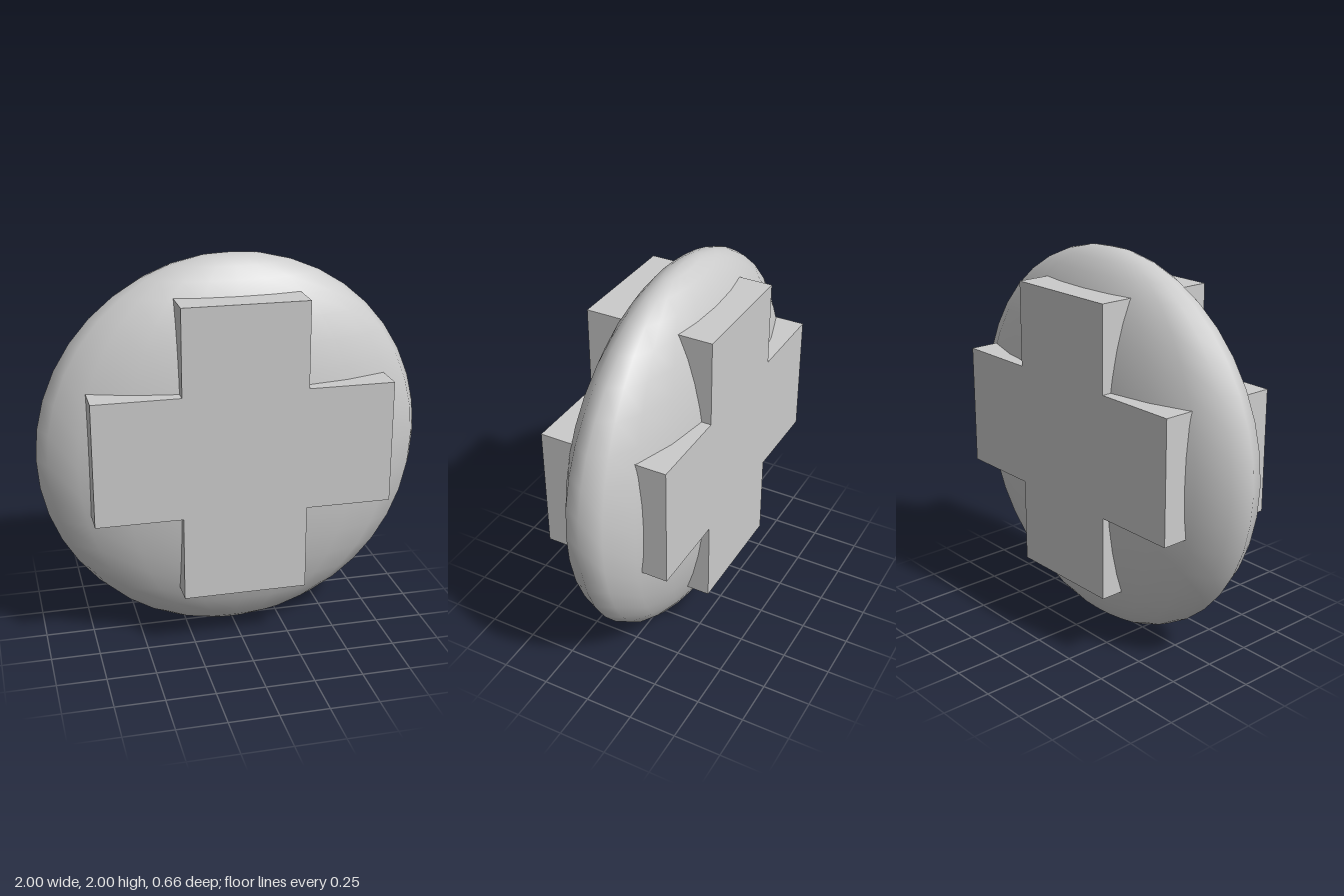
import * as THREE from 'three';

export function createModel() {
  const group = new THREE.Group();
  const material = new THREE.MeshStandardMaterial({ color: 0xcccccc });

  // Flattened round body, poles up and down
  const body = new THREE.Mesh(new THREE.SphereGeometry(1, 20, 20), material);
  body.name = 'flattenedBody';
  body.scale.set(1, 1, 0.32);
  body.position.set(0, 1, -0.005);
  group.add(body);

  // Plus-shaped block passing through the body, raised on both faces
  const arm = 0.757, half = 0.317, depth = 0.66;
  const outline = [
    [half, -arm], [half, -half], [arm, -half], [arm, half], [half, half], [half, arm],
    [-half, arm], [-half, half], [-arm, half], [-arm, -half], [-half, -half], [-half, -arm],
  ].map(([x, y]) => new THREE.Vector2(x, y));
  const cross = new THREE.Mesh(
    new THREE.ExtrudeGeometry(new THREE.Shape(outline), { depth, bevelEnabled: false }),
    material,
  );
  cross.name = 'crossBlock';
  cross.position.set(0, 1.063, -depth / 2);
  group.add(cross);

  return group;
}
